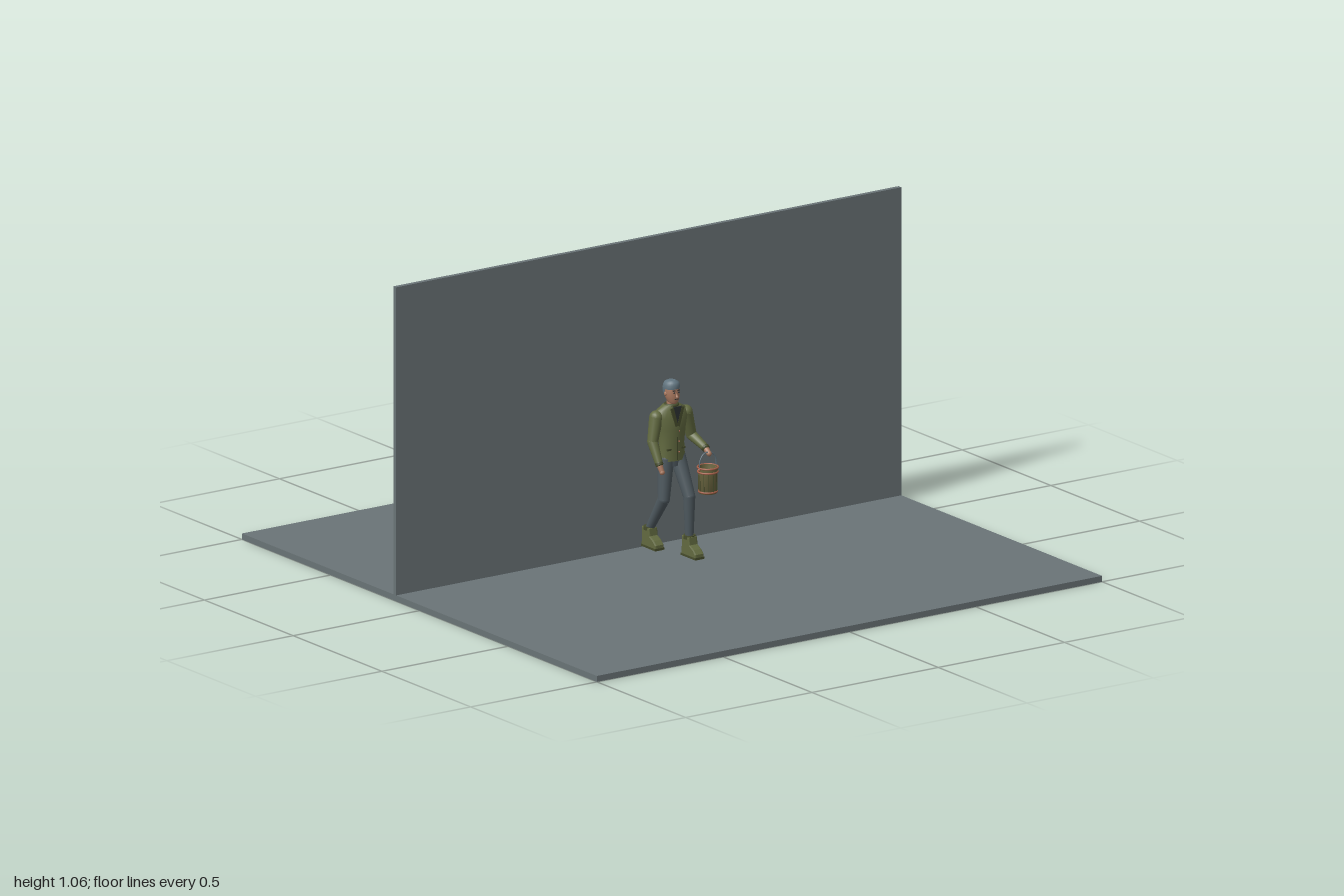
import * as THREE from 'three';

const mat = (name, color) => {
  const m = new THREE.MeshStandardMaterial({ color });
  m.name = name;
  return m;
};

export function createModel() {
  const stone = mat('slate grey', 0x6a7477);
  const olive = mat('olive cloth', 0x626a40);
  const darkOlive = mat('dark olive', 0x464c2c);
  const trousers = mat('grey trousers', 0x4f5a60);
  const skin = mat('skin', 0xa8785f);
  const hairMat = mat('blue grey', 0x627580);
  const dark = mat('dark', 0x2c3032);
  const copper = mat('copper', 0xa5604a);
  const wood = mat('bucket wood', 0x6b6640);

  const model = new THREE.Group();
  model.name = 'walkingManScene';
  const man = new THREE.Group();
  man.name = 'man';
  const bucket = new THREE.Group();
  bucket.name = 'bucket';
  model.add(man, bucket);

  const V = (x, y, z) => new THREE.Vector3(x, y, z);
  const add = (parent, name, geo, material, x = 0, y = 0, z = 0) => {
    const m = new THREE.Mesh(geo, material);
    m.name = name;
    m.position.set(x, y, z);
    parent.add(m);
    return m;
  };

  // Closed body from elliptical sections [y, cx, cz, rx, rz], bottom to top
  const loft = (sections, n = 24) => {
    const pos = [], index = [];
    const first = sections[0], last = sections[sections.length - 1];
    const cap = s => [s[0], s[1], s[2], 0, 0];
    const rings = [cap(first), first, ...sections, last, cap(last)];
    rings.forEach(([y, cx, cz, rx, rz]) => {
      for (let i = 0; i < n; i++) {
        const a = (i / n) * Math.PI * 2;
        pos.push(cx + rx * Math.cos(a), y, cz + rz * Math.sin(a));
      }
    });
    for (let r = 0; r < rings.length - 1; r++) {
      for (let i = 0; i < n; i++) {
        const j = (i + 1) % n, a = r * n + i, b = r * n + j;
        index.push(a, a + n, b, b, a + n, b + n);
      }
    }
    const g = new THREE.BufferGeometry();
    g.setAttribute('position', new THREE.Float32BufferAttribute(pos, 3));
    g.setIndex(index);
    g.computeVertexNormals();
    return g;
  };

  // Tapered segment from a to b, rounded at the start
  const limb = (name, a, b, ra, rb, material) => {
    const d = b.clone().sub(a);
    const m = add(man, name, new THREE.CylinderGeometry(rb, ra, d.length(), 16), material);
    m.position.copy(a).addScaledVector(d, 0.5);
    m.quaternion.setFromUnitVectors(V(0, 1, 0), d.normalize());
    add(man, name + 'Joint', new THREE.SphereGeometry(ra, 16, 10), material, a.x, a.y, a.z);
  };

  // Floor and wall
  add(model, 'floor', new THREE.BoxGeometry(2, 0.02, 2), stone, 0, 0.01, 0);
  add(model, 'wall', new THREE.BoxGeometry(2, 1.04, 0.016), stone, 0, 0.54, -0.139);

  // Jacket and hips
  add(man, 'jacket', loft([
    [0.345, -0.002, 0, 0.049, 0.033], [0.40, -0.002, 0, 0.045, 0.032],
    [0.45, -0.002, 0, 0.050, 0.036], [0.49, -0.002, -0.002, 0.060, 0.036],
    [0.515, -0.002, -0.004, 0.054, 0.028], [0.53, -0.002, -0.004, 0.028, 0.022],
  ]), olive);
  add(man, 'hips', loft([[0.325, 0, 0, 0.036, 0.026], [0.36, 0, 0, 0.042, 0.028]]), trousers);

  // Collar opening, lapels, front seam and buttons
  const vee = new THREE.Shape([[-0.018, 0.528], [0, 0.465], [0.018, 0.528]].map(p => new THREE.Vector2(...p)));
  const shirt = add(man, 'shirtFront', new THREE.ExtrudeGeometry(vee, { depth: 0.004, bevelEnabled: false }), dark, -0.002, 0, 0.031);
  shirt.scale.y = 1;
  for (const s of [-1, 1]) {
    const lapel = add(man, 'lapel', new THREE.BoxGeometry(0.011, 0.066, 0.005), darkOlive, -0.002 + s * 0.012, 0.494, 0.033);
    lapel.rotation.z = -s * 0.28;
    add(man, 'pocketFlap', new THREE.BoxGeometry(0.02, 0.006, 0.006), darkOlive, -0.002 + s * 0.026, 0.385, 0.026);
  }
  add(man, 'frontSeam', new THREE.BoxGeometry(0.003, 0.115, 0.004), darkOlive, -0.002, 0.405, 0.032);
  for (const y of [0.375, 0.41, 0.445]) {
    add(man, 'button', new THREE.SphereGeometry(0.003, 8, 6), copper, 0.005, y, 0.034);
  }

  // Neck, head and face
  add(man, 'neck', new THREE.CylinderGeometry(0.015, 0.017, 0.035, 16), skin, 0, 0.537, -0.003);
  add(man, 'collar', new THREE.TorusGeometry(0.02, 0.006, 8, 20).rotateX(Math.PI / 2), darkOlive, 0, 0.527, -0.004);
  add(man, 'head', loft([
    [0.533, 0, 0.008, 0.009, 0.011], [0.541, 0, 0.004, 0.018, 0.021],
    [0.56, 0, 0, 0.024, 0.027], [0.58, 0, -0.001, 0.025, 0.027],
    [0.598, 0, -0.002, 0.021, 0.024],
  ]), skin);
  add(man, 'hair', loft([
    [0.583, 0, -0.003, 0.0265, 0.028], [0.596, 0, -0.003, 0.0275, 0.029],
    [0.605, 0, -0.003, 0.022, 0.024], [0.610, 0, -0.003, 0.012, 0.014],
  ]), hairMat);
  add(man, 'backHair', loft([
    [0.553, 0, -0.012, 0.017, 0.015], [0.57, 0, -0.011, 0.0255, 0.02],
    [0.588, 0, -0.011, 0.026, 0.021],
  ]), hairMat);
  const nose = add(man, 'nose', new THREE.ConeGeometry(0.005, 0.016, 8), skin, 0, 0.566, 0.028);
  nose.rotation.x = -0.25;
  add(man, 'mouth', new THREE.BoxGeometry(0.013, 0.002, 0.004), dark, 0, 0.551, 0.0245);
  for (const s of [-1, 1]) {
    add(man, 'eye', new THREE.SphereGeometry(0.003, 8, 6), dark, s * 0.009, 0.573, 0.0245);
    add(man, 'eyebrow', new THREE.BoxGeometry(0.010, 0.003, 0.004), dark, s * 0.009, 0.58, 0.0245);
    add(man, 'ear', new THREE.SphereGeometry(0.007, 10, 8), skin, s * 0.025, 0.567, -0.002).scale.x = 0.5;
  }

  // Arms: shoulder, elbow, wrist, hand tip
  const arms = [
    ['rightArm', V(-0.06, 0.493, -0.004), V(-0.078, 0.415, 0.002), V(-0.077, 0.35, 0.036), V(-0.074, 0.322, 0.05)],
    ['leftArm', V(0.057, 0.493, -0.004), V(0.083, 0.41, -0.01), V(0.096, 0.378, 0.05), V(0.095, 0.363, 0.074)],
  ];
  for (const [name, shoulder, elbow, wrist, tip] of arms) {
    limb(name + 'Upper', shoulder, elbow, 0.023, 0.018, olive);
    limb(name + 'Fore', elbow, wrist, 0.018, 0.013, olive);
    limb(name + 'Cuff', wrist, wrist.clone().lerp(tip, 0.2), 0.0135, 0.0135, darkOlive);
    limb(name + 'Hand', wrist.clone().lerp(tip, 0.35), tip, 0.010, 0.008, skin);
    add(man, name + 'Fingers', new THREE.SphereGeometry(0.009, 12, 8), skin, tip.x, tip.y, tip.z);
  }

  // Legs in mid stride, with boots
  const profile = [[-0.028, 0], [0.046, 0], [0.046, 0.014], [0.034, 0.026], [0.012, 0.038], [0.010, 0.062], [-0.026, 0.062]];
  const bootGeo = new THREE.ExtrudeGeometry(new THREE.Shape(profile.map(p => new THREE.Vector2(...p))),
    { depth: 0.026, bevelEnabled: true, bevelSize: 0.003, bevelThickness: 0.004, bevelSegments: 2 });
  bootGeo.translate(0, 0, -0.013).rotateY(-Math.PI / 2);
  const legs = [
    ['rightLeg', V(-0.024, 0.35, 0), V(-0.035, 0.215, 0.004), V(-0.036, 0.1, -0.073), V(-0.036, 0.038, -0.067)],
    ['leftLeg', V(0.022, 0.35, 0), V(0.033, 0.225, 0.05), V(0.037, 0.09, 0.045), V(0.037, 0.024, 0.054)],
  ];
  for (const [name, hip, knee, ankle, foot] of legs) {
    limb(name + 'Thigh', hip, knee, 0.027, 0.02, trousers);
    limb(name + 'Shin', knee, ankle, 0.02, 0.014, trousers);
    add(man, name + 'Boot', bootGeo, olive, foot.x, foot.y, foot.z);
    add(man, name + 'Sole', new THREE.BoxGeometry(0.037, 0.007, 0.081), darkOlive, foot.x, foot.y + 0.0015, foot.z + 0.009);
    add(man, name + 'BootCuff', new THREE.CylinderGeometry(0.02, 0.02, 0.012, 16), darkOlive, foot.x, foot.y + 0.062, foot.z - 0.009);
  }

  // Bucket: hollow tapered body, copper hoops and wire handle
  bucket.position.set(0.09, 0.232, 0.074);
  const wall = [[0, 0], [0.029, 0], [0.033, 0.088], [0.030, 0.088], [0.026, 0.006], [0, 0.006]];
  add(bucket, 'bucketBody', new THREE.LatheGeometry(wall.map(p => new THREE.Vector2(...p)), 20), wood);
  for (const [y, r] of [[0.006, 0.0305], [0.072, 0.0335], [0.087, 0.0345]]) {
    add(bucket, 'hoop', new THREE.TorusGeometry(r - 0.001, 0.0032, 8, 24).rotateX(Math.PI / 2), copper, 0, y, 0);
  }
  for (let i = 0; i < 12; i++) {
    const a = (i / 12) * Math.PI * 2;
    const seam = add(bucket, 'staveSeam', new THREE.BoxGeometry(0.002, 0.06, 0.002), darkOlive, Math.sin(a) * 0.0308, 0.039, Math.cos(a) * 0.0308);
    seam.rotation.y = a;
  }
  const handle = new THREE.CatmullRomCurve3([
    V(-0.034, 0.082, 0), V(-0.031, 0.112, 0), V(-0.018, 0.132, 0), V(0, 0.137, 0),
    V(0.018, 0.132, 0), V(0.031, 0.112, 0), V(0.034, 0.082, 0),
  ]);
  add(bucket, 'handle', new THREE.TubeGeometry(handle, 32, 0.002, 6), hairMat);
  for (const s of [-1, 1]) add(bucket, 'handleLug', new THREE.SphereGeometry(0.005, 10, 8), copper, s * 0.034, 0.082, 0);

  return model;
}
